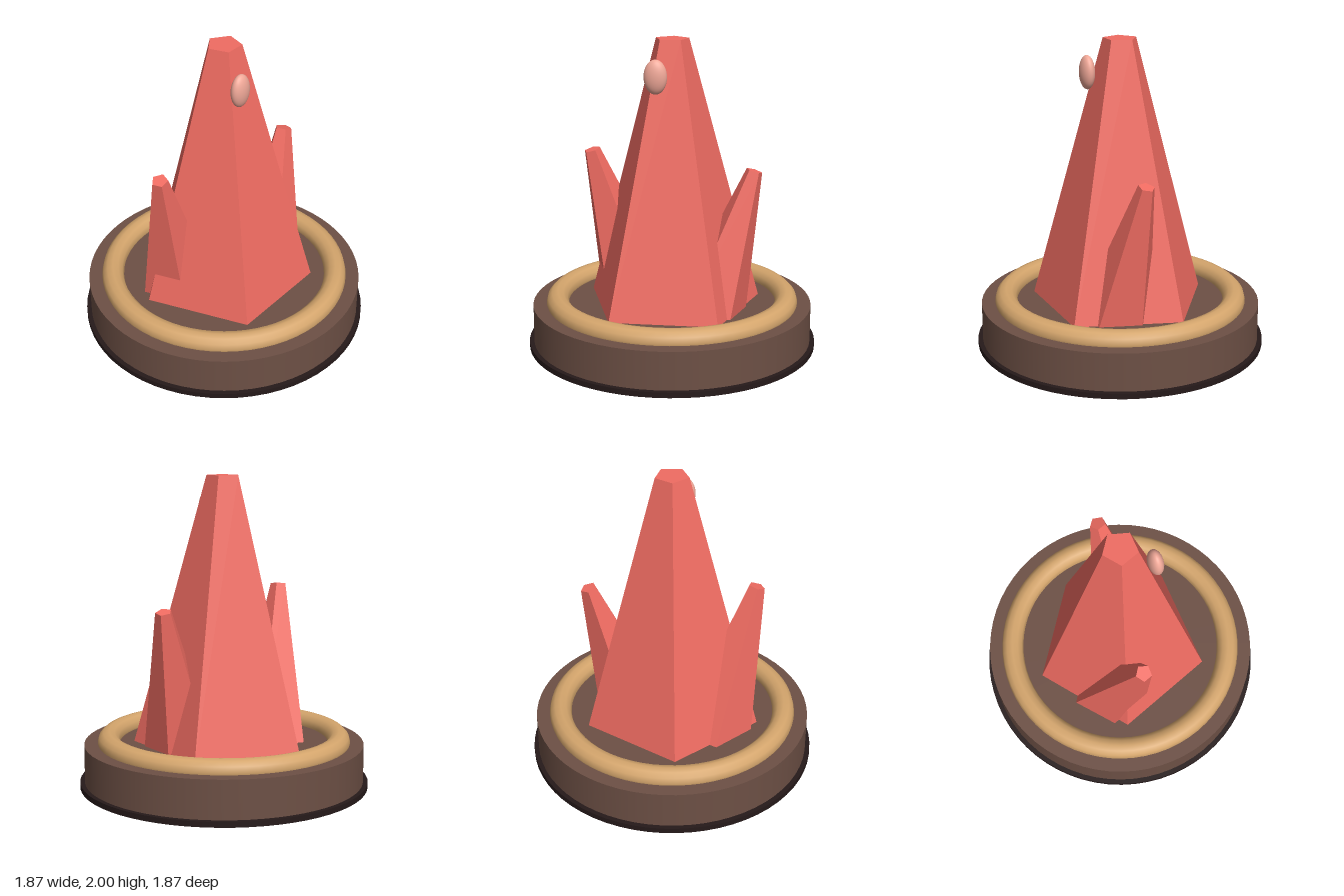
import * as THREE from 'three';

export function createModel() {
  const model = new THREE.Group();
  model.name = 'crystalOnPlinth';

  const add = (name, geometry, color, flatShading = false) => {
    const material = new THREE.MeshStandardMaterial({ color, flatShading });
    const mesh = new THREE.Mesh(geometry, material);
    mesh.name = name;
    model.add(mesh);
    return mesh;
  };

  // Round plinth: dark foot, brown drum and a gold ring resting on top
  const drumTop = 0.28;
  const footHeight = 0.035;
  add('foot', new THREE.CylinderGeometry(0.935, 0.935, footHeight, 64), 0x261a1a)
    .position.y = footHeight / 2;
  const drumHeight = drumTop - footHeight;
  add('drum', new THREE.CylinderGeometry(0.905, 0.905, drumHeight, 64), 0x6d5045)
    .position.y = footHeight + drumHeight / 2;
  const ring = add('ring', new THREE.TorusGeometry(0.745, 0.073, 12, 64), 0xd4a56c);
  ring.rotation.x = Math.PI / 2;
  ring.position.y = 0.292;

  // Five-sided tapered crystal between two axis points, one edge facing the back;
  // "sink" extends the taper below the base point into the plinth
  const addCrystal = (name, base, tip, baseRadius, tipRadius, sink = 0) => {
    const start = new THREE.Vector3(...base);
    const end = new THREE.Vector3(...tip);
    const axis = end.clone().sub(start);
    const length = axis.length();
    axis.normalize();
    start.addScaledVector(axis, -sink);
    const bottomRadius = baseRadius + (baseRadius - tipRadius) * sink / length;
    const geometry = new THREE.CylinderGeometry(tipRadius, bottomRadius, length + sink, 5);
    geometry.rotateY(Math.PI);
    const crystal = add(name, geometry, 0xf06c62, true);
    crystal.position.copy(start).lerp(end, 0.5);
    crystal.quaternion.setFromUnitVectors(new THREE.Vector3(0, 1, 0), axis);
  };
  addCrystal('mainCrystal', [0, drumTop, 0], [0, 2, 0], 0.583, 0.11);
  addCrystal('leftCrystal', [0.27, drumTop, 0.145], [0.53, 1.185, 0.07], 0.235, 0.053, 0.08);
  addCrystal('rightCrystal', [-0.275, drumTop, -0.185], [-0.53, 1.262, -0.07], 0.25, 0.053, 0.08);

  // Small smooth pebble beside the upper front face
  const pebble = add('pebble', new THREE.SphereGeometry(1, 32, 20), 0xf0a898);
  pebble.scale.set(0.073, 0.108, 0.046);
  pebble.position.set(-0.08, 1.785, 0.19);

  return model;
}
